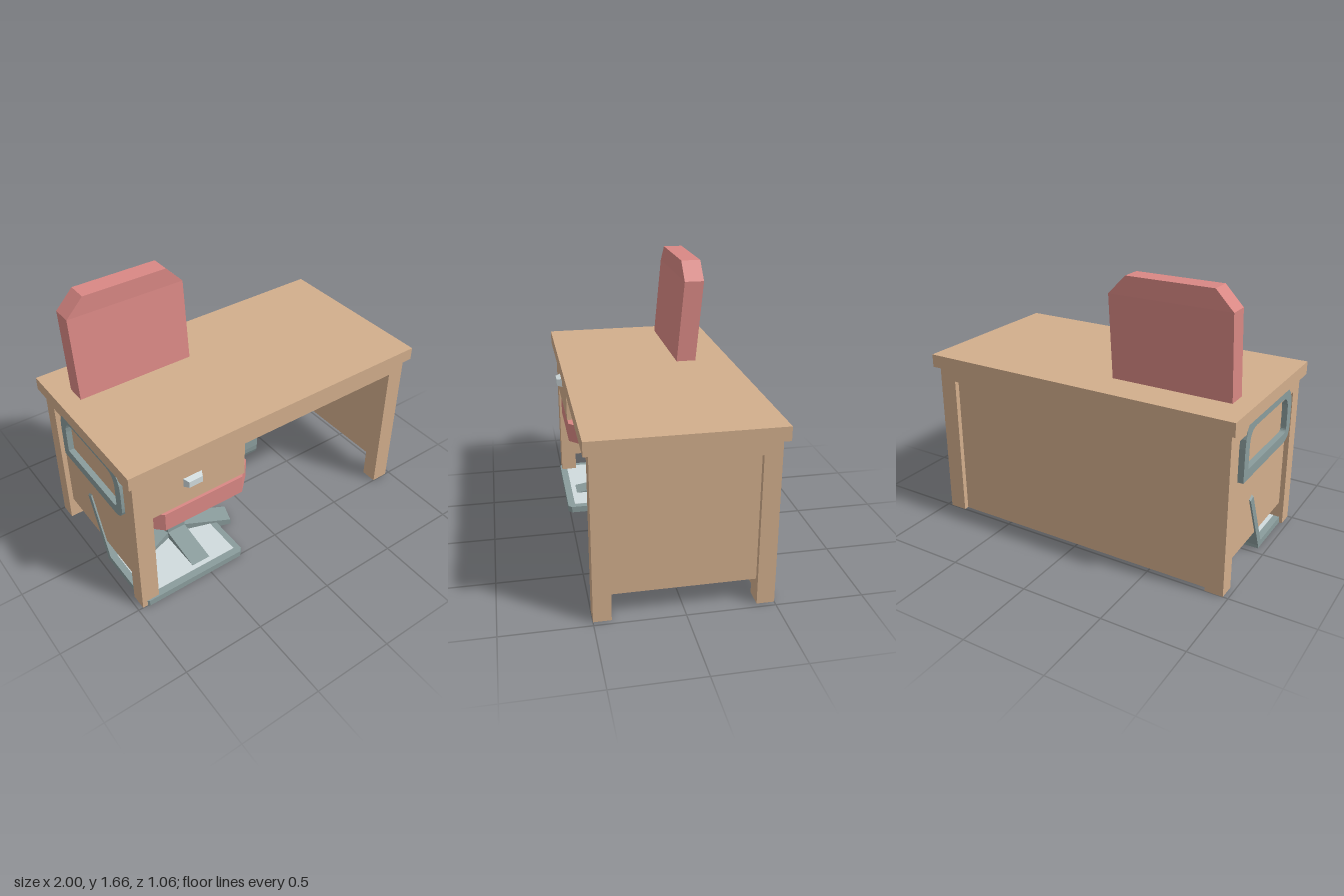
import * as THREE from 'three';

const mat = (color) => new THREE.MeshStandardMaterial({ color, flatShading: true });

export function createModel() {
  const model = new THREE.Group();
  const wood = mat(0xd2ae8c), pink = mat(0xd98884), metal = mat(0x8a9c9c), pale = mat(0xd0dbdd);

  const add = (parent, name, geo, material) => {
    const m = new THREE.Mesh(geo, material);
    m.name = name;
    parent.add(m);
    return m;
  };
  const group = (name) => {
    const g = new THREE.Group();
    g.name = name;
    model.add(g);
    return g;
  };
  // Box given by its limits on each axis
  const box = (x0, x1, y0, y1, z0, z1) =>
    new THREE.BoxGeometry(x1 - x0, y1 - y0, z1 - z0)
      .translate((x0 + x1) / 2, (y0 + y1) / 2, (z0 + z1) / 2);
  const poly = (pts) => new THREE.Shape(pts.map(([x, y]) => new THREE.Vector2(x, y)));
  const extrude = (shape, depth) =>
    new THREE.ExtrudeGeometry(shape, { depth, bevelEnabled: false, curveSegments: 5 });

  // Desk: top, legs, rails and recessed panels
  const desk = group('desk');
  add(desk, 'deskTop', box(-1, 1, 0.97, 1.05, -0.53, 0.53), wood);
  for (const s of [-1, 1]) {
    const side = (a, b) => [Math.min(s * a, s * b), Math.max(s * a, s * b)];
    for (const t of [-1, 1])
      add(desk, 'leg', box(...side(0.86, 0.97), 0, 0.97, t > 0 ? 0.4 : -0.5, t > 0 ? 0.5 : -0.4), wood);
    add(desk, 'sideRail', box(...side(0.86, 0.97), 0.89, 0.97, -0.4, 0.4), wood);
    add(desk, 'sidePanel', box(...side(0.9, 0.94), 0.14, 0.89, -0.4, 0.4), wood);
  }
  add(desk, 'frontRail', box(-0.86, 0.86, 0.89, 0.97, 0.4, 0.5), wood);
  add(desk, 'backRail', box(-0.86, 0.86, 0.89, 0.97, -0.5, -0.4), wood);
  add(desk, 'backPanel', box(-0.86, 0.86, 0, 0.89, -0.47, -0.43), wood);
  add(desk, 'drawer', box(-0.86, -0.25, 0.67, 0.89, -0.1, 0.5), wood);

  // Drawer handle, narrowing toward the front
  const handle = new THREE.BoxGeometry(0.12, 0.056, 0.035);
  const hp = handle.attributes.position;
  for (let i = 0; i < hp.count; i++)
    if (hp.getZ(i) > 0) hp.setXY(i, hp.getX(i) * 0.72, hp.getY(i) * 0.72);
  handle.computeVertexNormals();
  add(desk, 'drawerHandle', handle, pale).position.set(-0.6, 0.82, 0.517);

  // Chair
  const chair = group('chair');
  chair.position.set(-0.52, 0, 0.077);

  // Five-sided column with one flat side to the front
  const column = new THREE.CylinderGeometry(0.104, 0.104, 0.52, 5, 1).rotateY(Math.PI / 5);
  add(chair, 'column', column, metal).position.y = 0.26;

  // Five sloping feet, one from each side of the column
  for (let i = 0; i < 5; i++) {
    const profile = poly([[0, 0], [0.386, 0], [0.386, 0.037], [0.084, 0.09], [0, 0.09]]);
    const foot = extrude(profile, 0.122).translate(0, 0, -0.061).rotateY(-Math.PI / 2);
    add(chair, 'foot', foot, metal).rotation.y = (i * Math.PI * 2) / 5;
  }

  // Seat with cut front corners
  const seat = extrude(poly([
    [-0.365, 0.38], [0.365, 0.38], [0.365, -0.31], [0.26, -0.415], [-0.26, -0.415], [-0.365, -0.31],
  ]), 0.12).rotateX(-Math.PI / 2);
  add(chair, 'seat', seat, pink).position.y = 0.52;

  // Backrest: leaning lower part, upright top with cut corners
  const lower = box(-0.365, 0.365, 0.68, 1.55, -0.432, -0.312);
  const lp = lower.attributes.position;
  for (let i = 0; i < lp.count; i++) lp.setZ(i, lp.getZ(i) + (1.55 - lp.getY(i)) * 0.09);
  lower.computeVertexNormals();
  add(chair, 'backrest', lower, pink);
  const upper = extrude(poly([[-0.365, 1.55], [0.365, 1.55], [0.26, 1.66], [-0.26, 1.66]]), 0.12);
  add(chair, 'backrestTop', upper, pink).position.z = -0.432;

  // Armrest loops, drawn in (z, y), rounded at the top and front
  const loop = (path, d) => {
    const z0 = -0.395 + d, z1 = 0.295 - d, y0 = 0.61 + d, y1 = 0.96 - d, r = 0.15 - d, q = 0.09 - d;
    path.moveTo(z0, y0);
    path.lineTo(z1 - q, y0);
    path.quadraticCurveTo(z1, y0, z1, y0 + q);
    path.lineTo(z1, y1 - r);
    path.quadraticCurveTo(z1, y1, z1 - r, y1);
    path.lineTo(z0 + r, y1);
    path.quadraticCurveTo(z0, y1, z0, y1 - r);
    path.closePath();
    return path;
  };
  for (const s of [-1, 1]) {
    const shape = loop(new THREE.Shape(), 0);
    shape.holes.push(loop(new THREE.Path(), 0.06));
    const arm = extrude(shape, 0.09).translate(0, 0, -0.045).rotateY(-Math.PI / 2);
    add(chair, 'armrest', arm, metal).position.x = s * 0.41;
  }

  // Hinged device on the floor: two plates with cut outer corners and a pale inset
  const device = group('foldingDevice');
  const plate = (name, s, h) => {
    const g = new THREE.Group();
    g.name = name;
    const w = 0.345, c = 0.022;
    const outline = poly([[-w, 0], [w, 0], [w, s * (h - c)], [w - c, s * h], [c - w, s * h], [-w, s * (h - c)]]);
    add(g, name + 'Frame', extrude(outline, 0.04), metal);
    add(g, name + 'Inset', new THREE.BoxGeometry(0.61, h - 0.09, 0.01), pale)
      .position.set(0, s * h / 2, 0.037);
    device.add(g);
    return g;
  };
  const base = plate('base', -1, 0.46);
  base.rotation.x = -Math.PI / 2;
  base.position.set(-0.605, 0, 0.05);
  const screen = plate('screen', 1, 0.44);
  screen.rotation.x = -0.42;
  screen.position.set(-0.605, 0.02, 0.05);

  return model;
}
